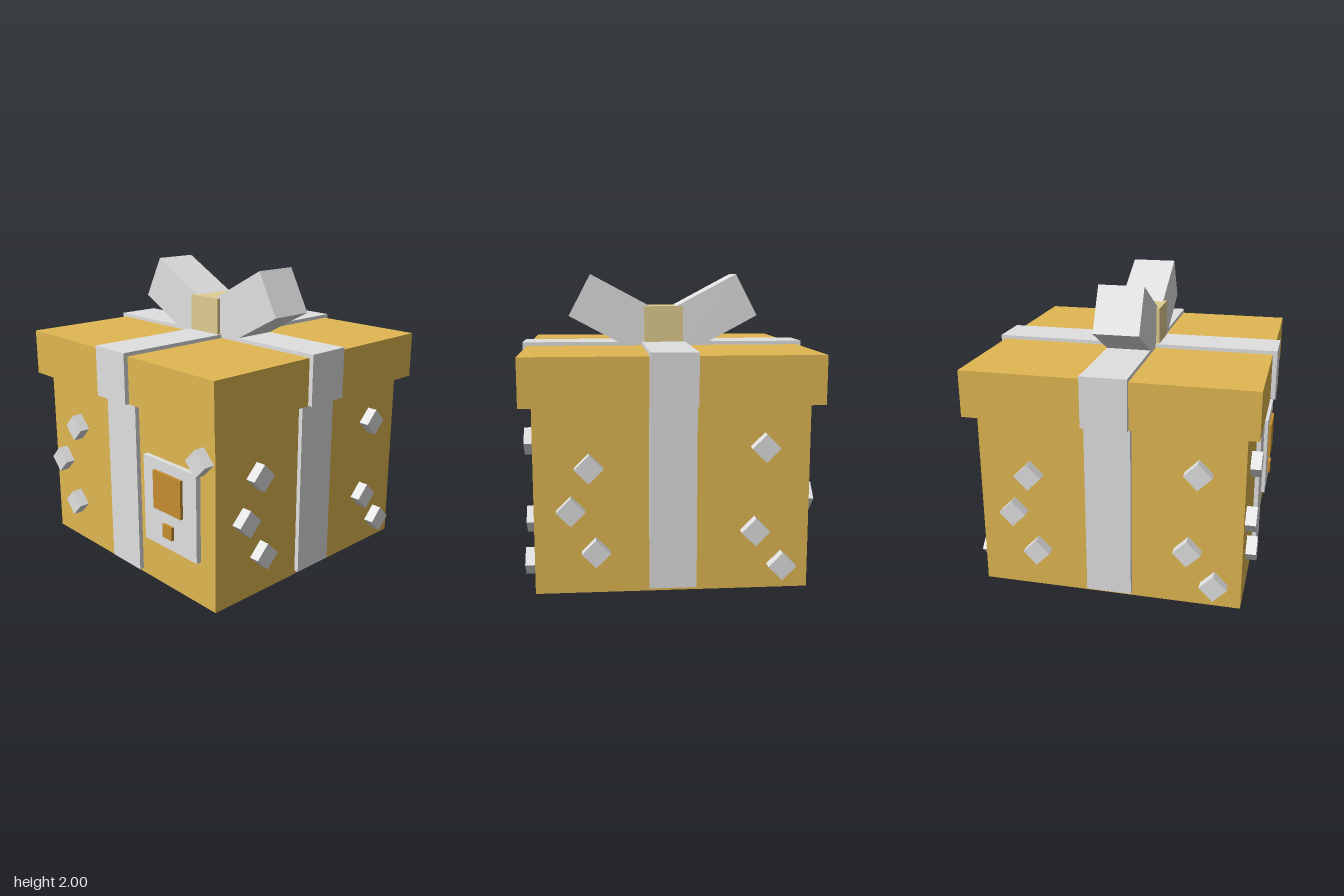
import * as THREE from 'three';

const material = (name, color) => {
  const m = new THREE.MeshStandardMaterial({ color });
  m.name = name;
  return m;
};

export function createModel() {
  const gold = material('gold paper', 0xe0b751);
  const silver = material('silver ribbon', 0xe0e0e0);
  const cream = material('pale gold knot', 0xe0cd90);
  const brown = material('brown inlay', 0xc58d30);

  const model = new THREE.Group();
  model.name = 'giftBox';

  // Box given by its minimum and maximum corners
  const box = (name, mat, [x0, y0, z0], [x1, y1, z1], parent = model) => {
    const mesh = new THREE.Mesh(new THREE.BoxGeometry(x1 - x0, y1 - y0, z1 - z0), mat);
    mesh.position.set((x0 + x1) / 2, (y0 + y1) / 2, (z0 + z1) / 2);
    mesh.name = name;
    parent.add(mesh);
    return mesh;
  };

  // Box and overhanging lid
  box('body', gold, [-0.87, 0, -0.87], [0.87, 1.2, 0.87]);
  box('lid', gold, [-0.945, 1.2, -0.945], [0.945, 1.51, 0.945]);

  // Crossed ribbons around the body and over the lid
  for (const turn of [0, Math.PI / 2]) {
    box('bodyRibbon', silver, [-0.15, 0.025, -0.9], [0.15, 1.201, 0.9]).rotation.y = turn;
    box('lidRibbon', silver, [-0.15, 1.202, -0.975], [0.15, 1.535, 0.975]).rotation.y = turn;
  }

  // Bow: two tilted loops and a knot
  const tilt = THREE.MathUtils.degToRad(28);
  for (const side of [-1, 1]) {
    const loop = box('bowLoop', silver, [-0.33, -0.161, -0.15], [0.33, 0.161, 0.15]);
    loop.position.set(side * (0.58 - 0.33 * Math.cos(tilt)), 1.857 - 0.33 * Math.sin(tilt), 0);
    loop.rotation.z = side * tilt;
  }
  box('bowKnot', cream, [-0.135, 1.5, -0.172], [0.135, 1.78, 0.172]);

  // Raised diamond studs, placed as seen when facing each wall
  const frontStuds = [[-0.525, 0.875], [-0.735, 0.583], [-0.58, 0.29], [0.77, 0.97]];
  const wallStuds = [
    [-0.525, 0.815], [-0.64, 0.545], [-0.485, 0.275],
    [0.58, 0.93], [0.52, 0.39], [0.695, 0.16],
  ];
  ['front', 'left', 'back', 'right'].forEach((wall, i) => {
    const group = new THREE.Group();
    group.name = wall + 'Studs';
    group.rotation.y = i * Math.PI / 2;
    for (const [x, y] of i === 0 ? frontStuds : wallStuds) {
      const stud = box('diamondStud', silver, [-0.064, -0.064, 0.85], [0.064, 0.064, 0.94], group);
      stud.position.set(x, y, 0.895);
      stud.rotation.z = Math.PI / 4;
    }
    model.add(group);
  });

  // Front plaque with plain raised inlays
  box('plaque', silver, [0.25, 0.31, 0.886], [0.755, 0.89, 0.92]);
  box('plaqueInlay', brown, [0.365, 0.565, 0.91], [0.63, 0.82, 0.94]);
  box('plaqueInlaySmall', brown, [0.45, 0.39, 0.91], [0.54, 0.48, 0.94]);

  return model;
}
